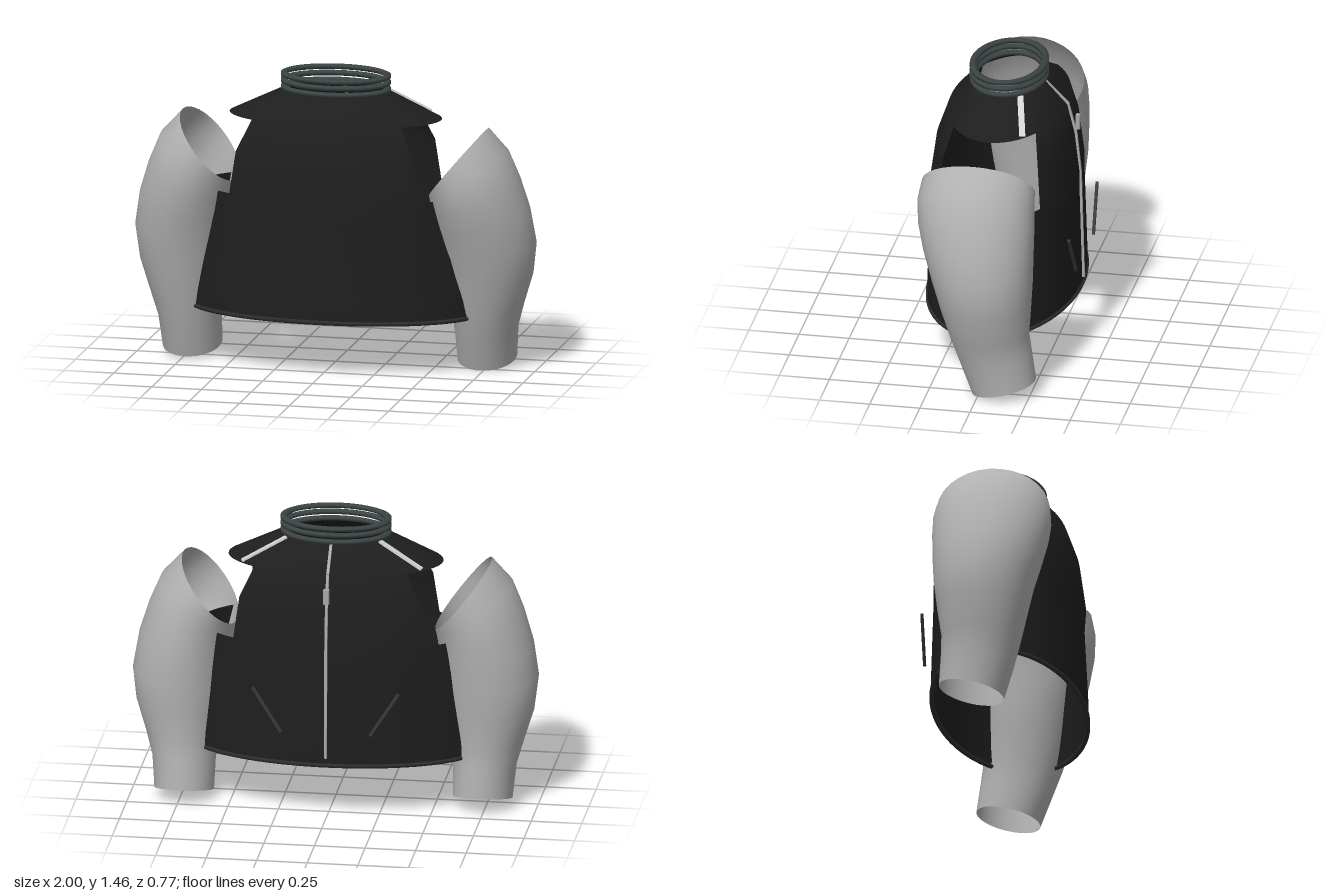
import * as THREE from 'three';

const mat = (name, color, side = THREE.FrontSide) => {
  const m = new THREE.MeshStandardMaterial({ color, side });
  m.name = name;
  return m;
};

// Surface through closed rings of equal size; skip(row, column) leaves holes
function loft(rings, skip = () => false) {
  const n = rings[0].length, index = [];
  for (let r = 0; r < rings.length - 1; r++) {
    for (let i = 0; i < n; i++) {
      if (skip(r, i)) continue;
      const j = (i + 1) % n;
      const a = r * n + i, b = r * n + j, c = a + n, d = b + n;
      index.push(a, b, c, b, d, c);
    }
  }
  const geo = new THREE.BufferGeometry().setFromPoints(rings.flat());
  geo.setIndex(index);
  geo.computeVertexNormals();
  return geo;
}

// Closed elliptical piping
function ellipseTube(y, a, b, z, radius, sides) {
  const pts = [];
  for (let i = 0; i < 32; i++) {
    const t = (i / 32) * Math.PI * 2;
    pts.push(new THREE.Vector3(a * Math.cos(t), y, z + b * Math.sin(t)));
  }
  return new THREE.TubeGeometry(new THREE.CatmullRomCurve3(pts, true), 72, radius, sides, true);
}

export function createModel() {
  const group = new THREE.Group();
  const black = mat('black cloth', 0x1e1e1e, THREE.DoubleSide);
  const grey = mat('grey sleeve', 0xb2b2b2, THREE.DoubleSide);
  const trim = mat('slate ribbing', 0x3c4444);
  const hemMat = mat('dark hem', 0x2a2e30);
  const metal = mat('zip metal', 0xa8a8a8);
  const pale = mat('pale seam', 0xd4d4d4);
  const pocketMat = mat('pocket grey', 0x3a3a3a);

  const add = (name, geo, material) => {
    const mesh = new THREE.Mesh(geo, material);
    mesh.name = name;
    group.add(mesh);
    return mesh;
  };
  // Flat bar from p to q
  const beam = (name, p, q, width, thick, material, up = [0, 0, 1]) => {
    const a = new THREE.Vector3(...p), b = new THREE.Vector3(...q);
    const mesh = add(name, new THREE.BoxGeometry(width, thick, a.distanceTo(b)), material);
    mesh.up.set(...up);
    mesh.position.copy(a).lerp(b, 0.5);
    mesh.lookAt(b);
  };

  // Body shell: height, half width, half depth, depth offset
  const SEG = 64;
  const body = [
    [1.37, 0.26, 0.17, 0], [1.24, 0.53, 0.29, 0], [1.09, 0.63, 0.335, 0.008],
    [0.88, 0.67, 0.362, 0.01], [0.77, 0.68, 0.358, 0.006],
    [0.37, 0.724, 0.373, 0.01], [0.275, 0.727, 0.373, 0.01],
  ].map(([y, a, b, z]) => Array.from({ length: SEG }, (_, i) => {
    const t = -(i / SEG) * Math.PI * 2;
    return new THREE.Vector3(a * Math.cos(t), y, z + b * Math.sin(t));
  }));
  // Armholes: the side quarters between chest and shoulder stay open
  const armhole = (r, i) => (r === 1 || r === 2) && (i + SEG / 8) % (SEG / 2) < SEG / 4;
  add('body', loft(body, armhole).scale(1, 1, 1), black);

  // Hem and ribbed collar
  add('hem', ellipseTube(0.28, 0.724, 0.37, 0.01, 0.012, 6), hemMat);
  for (const y of [1.376, 1.41, 1.442]) {
    add('collarRing', ellipseTube(y, 0.257, 0.174, 0, 0.019, 6).scale(1, 0.75, 1)
      .translate(0, y * 0.25, 0), trim);
  }

  // Sleeves: outer x, y; inner x, y; front z, back z; cuff tilt
  const sections = [
    [0.762, 1.21, 0.49, 0.88, 0.312, -0.25, 0],
    [0.865, 1.1, 0.498, 0.83, 0.324, -0.258, 0],
    [0.925, 0.96, 0.508, 0.77, 0.312, -0.263, 0],
    [0.972, 0.81, 0.52, 0.68, 0.28, -0.264, 0],
    [1.0, 0.64, 0.53, 0.57, 0.235, -0.263, 0],
    [0.98, 0.48, 0.55, 0.44, 0.19, -0.255, 0.01],
    [0.93, 0.32, 0.575, 0.3, 0.142, -0.244, 0.02],
    [0.895, 0.2, 0.585, 0.19, 0.1, -0.256, 0.03],
    [0.88, 0.041, 0.588, 0.041, 0.04, -0.275, 0.04],
  ];
  for (const s of [1, -1]) {
    const rings = sections.map(([xo, yo, xi, yi, zf, zb, tilt]) =>
      Array.from({ length: 32 }, (_, i) => {
        const t = -s * (i / 32) * Math.PI * 2, c = Math.cos(t), d = Math.sin(t);
        const y = (yo + yi) / 2 + (c * (yo - yi)) / 2 - d * tilt;
        // The right arm swings slightly further forward
        const lift = s < 0 ? 0.008 + 0.016 * y : 0;
        const swing = s < 0 ? 0.06 * Math.max(0, 1 - y) : 0;
        return new THREE.Vector3(
          s * ((xo + xi) / 2 + (c * (xo - xi)) / 2), y + lift,
          (zf + zb) / 2 + (d * (zf - zb)) / 2 + swing);
      }));
    add(s > 0 ? 'leftSleeve' : 'rightSleeve', loft(rings), grey);

    // Shoulder seam and slanted pocket
    beam('shoulderSeam', [s * 0.23, 1.366, -0.1], [s * 0.445, 1.249, -0.152],
      0.03, 0.009, pale, [0, 1, 0]);
    beam('pocket', [s * 0.36, 0.67, -0.367], [s * 0.22, 0.45, -0.376],
      0.014, 0.014, pocketMat);
  }

  // Zip down the back, with its pull
  const zip = [[1.37, -0.165], [1.245, -0.292], [1.09, -0.333], [0.88, -0.355],
    [0.7, -0.36], [0.32, -0.371]];
  for (let i = 0; i < zip.length - 1; i++) {
    beam('zip', [0, ...zip[i]], [0, ...zip[i + 1]], 0.014, 0.012, metal);
  }
  add('zipPull', new THREE.BoxGeometry(0.028, 0.075, 0.02), metal).position.set(0, 1.15, -0.343);

  return group;
}
